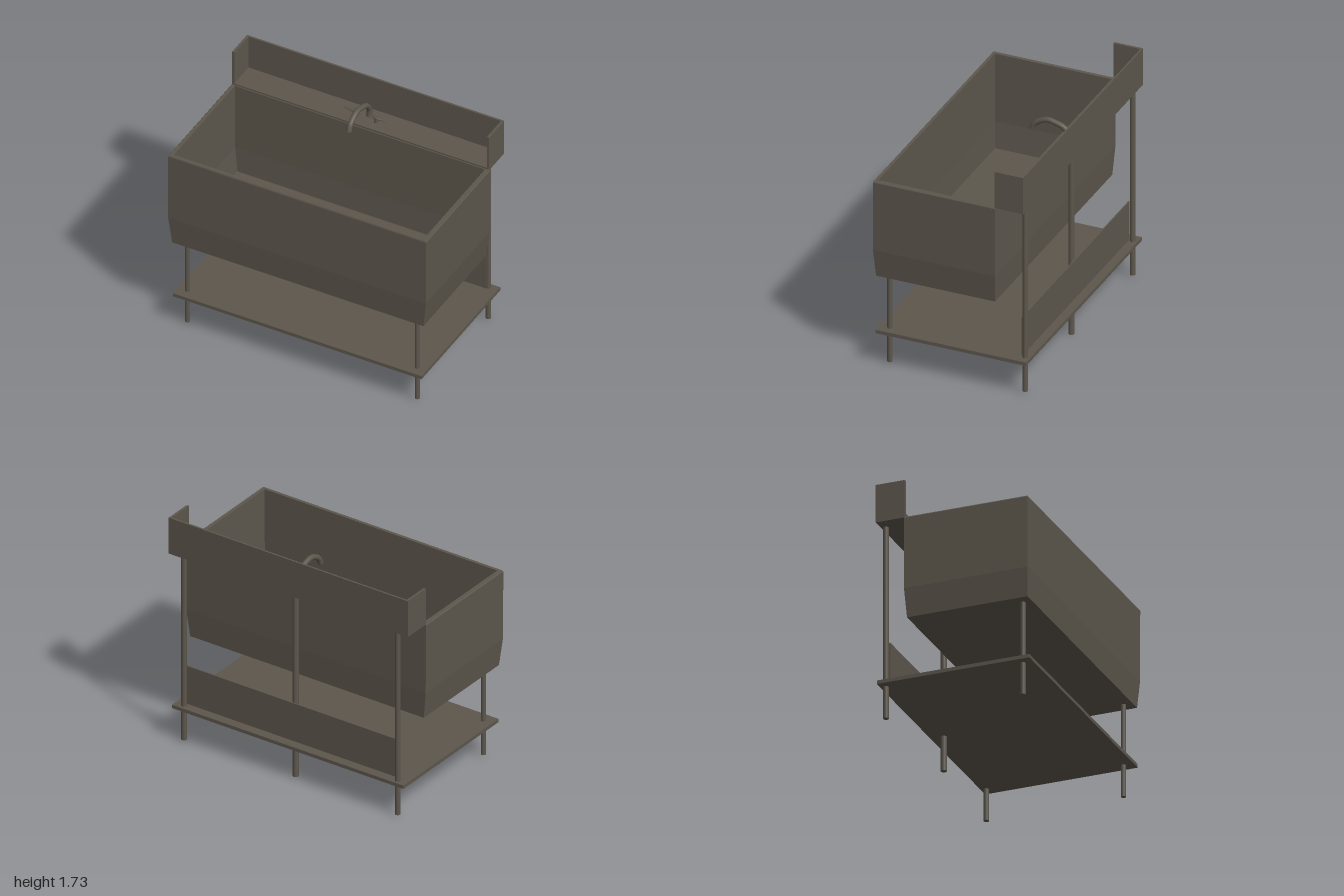
import * as THREE from 'three';

const metal = new THREE.MeshStandardMaterial({ color: 0x5c564c });
metal.name = 'dull grey metal';

function add(parent, name, geometry, x = 0, y = 0, z = 0) {
  const mesh = new THREE.Mesh(geometry, metal);
  mesh.name = name;
  mesh.position.set(x, y, z);
  parent.add(mesh);
  return mesh;
}

// Box given by its minimum and maximum on each axis
function slab(parent, name, [x0, x1], [y0, y1], [z0, z1]) {
  return add(parent, name, new THREE.BoxGeometry(x1 - x0, y1 - y0, z1 - z0),
    (x0 + x1) / 2, (y0 + y1) / 2, (z0 + z1) / 2);
}

function leg(parent, name, x, z, y0, y1, r) {
  add(parent, name, new THREE.CylinderGeometry(r, r, y1 - y0, 20), x, (y0 + y1) / 2, z);
}

// Skin over rectangular rings [half width, y, back z, front z]
function loftRectangles(rings) {
  const points = [];
  for (const [w, y, zb, zf] of rings) points.push([-w, y, zf], [w, y, zf], [w, y, zb], [-w, y, zb]);
  const out = [];
  for (let r = 0; r < rings.length - 1; r++) {
    for (let i = 0; i < 4; i++) {
      const a = r * 4 + i, b = r * 4 + (i + 1) % 4, c = b + 4, d = a + 4;
      for (const k of [a, b, c, a, c, d]) out.push(...points[k]);
    }
  }
  const g = new THREE.BufferGeometry();
  g.setAttribute('position', new THREE.Float32BufferAttribute(out, 3));
  g.computeVertexNormals();
  return g;
}

export function createModel() {
  const model = new THREE.Group();
  model.name = 'utilitySink';

  // Open basin: bowed underside, tapered walls, rim, inside walls and floor
  add(model, 'basin', loftRectangles([
    [0.001, 0.697, 0.1, 0.101],
    [0.5, 0.70, -0.12, 0.33],
    [0.97, 0.71, -0.335, 0.55],
    [0.995, 0.92, -0.347, 0.562],
    [0.998, 1.445, -0.347, 0.562],
    [0.992, 1.453, -0.345, 0.558],
    [0.965, 1.453, -0.332, 0.535],
    [0.963, 0.93, -0.33, 0.533],
    [0.94, 0.735, -0.32, 0.522],
    [0.001, 0.725, 0.1, 0.101],
  ]));

  // Faucet ledge with splash guards on three sides
  const splash = new THREE.Group();
  splash.name = 'backsplash';
  model.add(splash);
  slab(splash, 'faucetLedge', [-0.99, 0.99], [1.45, 1.465], [-0.553, -0.34]);
  slab(splash, 'backPanel', [-0.99, 0.99], [1.45, 1.73], [-0.555, -0.541]);
  for (const s of [-1, 1]) {
    slab(splash, s > 0 ? 'leftGuard' : 'rightGuard',
      s > 0 ? [0.975, 0.993] : [-0.993, -0.975], [1.45, 1.73], [-0.555, -0.342]);
  }

  // Legs, lower shelf and rear panel
  for (const s of [-1, 1]) {
    leg(model, 'frontLeg', s * 0.888, 0.484, 0.02, 0.715, 0.018);
    leg(model, 'backLeg', s * 0.888, -0.523, 0.02, 1.455, 0.019);
  }
  leg(model, 'centreLeg', 0, -0.467, 0, 1.455, 0.021);
  slab(model, 'shelf', [-0.96, 0.96], [0.256, 0.282], [-0.561, 0.559]);
  slab(model, 'rearPanel', [-0.885, 0.885], [0.29, 0.585], [-0.503, -0.493]);

  // Faucet
  const faucet = new THREE.Group();
  faucet.name = 'faucet';
  model.add(faucet);
  const path = new THREE.CatmullRomCurve3([
    [1.46, -0.468], [1.53, -0.462], [1.585, -0.415], [1.61, -0.35],
    [1.62, -0.29], [1.6, -0.235], [1.57, -0.195], [1.526, -0.174],
  ].map(([y, z]) => new THREE.Vector3(0, y, z)));
  add(faucet, 'spout', new THREE.TubeGeometry(path, 28, 0.02, 14));
  const tip = add(faucet, 'spoutTip', new THREE.CircleGeometry(0.02, 14), 0, 1.526, -0.174);
  tip.quaternion.setFromUnitVectors(new THREE.Vector3(0, 0, 1), path.getTangent(1));
  add(faucet, 'spoutBase', new THREE.CylinderGeometry(0.021, 0.024, 0.02, 16), 0, 1.474, -0.468);

  // Leaf-shaped lever handles on short posts
  const leaf = [[0, 0], [0.013, 0.01], [0.018, 0.04], [0.016, 0.06], [0.009, 0.085], [0.007, 0.125], [0, 0.14]]
    .map(([r, h]) => new THREE.Vector2(r, h));
  for (const s of [-1, 1]) {
    add(faucet, 'handlePost', new THREE.CylinderGeometry(0.012, 0.016, 0.04, 14), s * 0.075, 1.482, -0.427);
    const lever = add(faucet, 'handleLever', new THREE.LatheGeometry(leaf, 14), s * 0.042, 1.5, -0.427);
    lever.rotation.z = -s * Math.PI / 2;
    lever.scale.x = 0.6;
  }
  return model;
}
